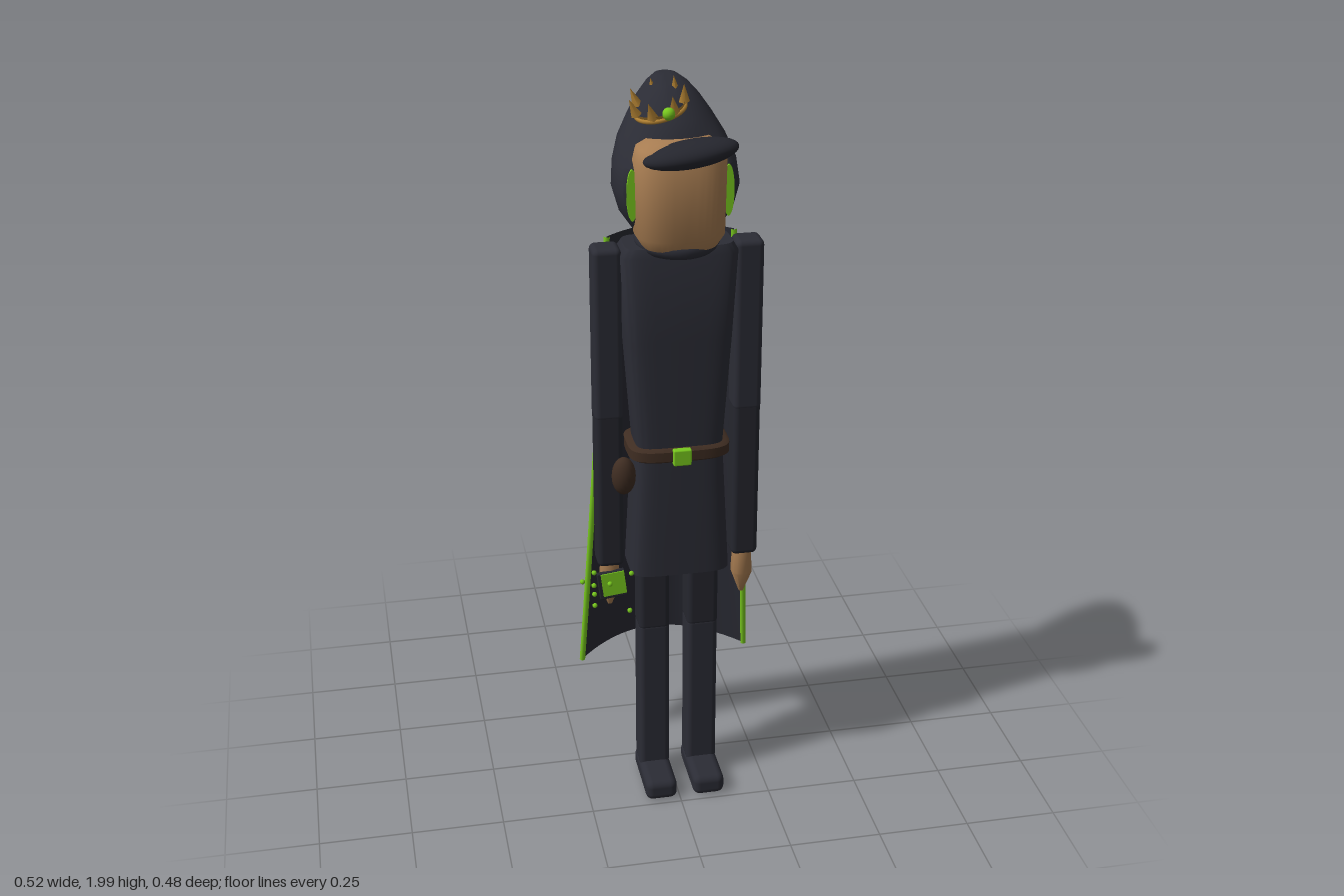
import * as THREE from 'three';
import { toCreasedNormals } from 'three/addons/utils/BufferGeometryUtils.js';
import { RoundedBoxGeometry } from 'three/addons/geometries/RoundedBoxGeometry.js';

const mat = (name, color, side = THREE.FrontSide) => {
  const m = new THREE.MeshStandardMaterial({ color, side });
  m.name = name;
  return m;
};

// Closed loft through superellipse rings; each row is [y, halfWidth, zBack, zFront], bottom to top
function loft(rows, power = 2, zMax = Infinity, n = 40) {
  const first = rows[0], last = rows[rows.length - 1];
  const cap = (r) => [r[0], 0, (r[2] + r[3]) / 2, (r[2] + r[3]) / 2];
  const all = [cap(first), ...rows, cap(last)];
  const pos = [], idx = [];
  const bend = (v) => Math.sign(v) * Math.abs(v) ** (2 / power);
  all.forEach(([y, w, zb, zf], i) => {
    for (let j = 0; j < n; j++) {
      const t = (j / n) * Math.PI * 2;
      const z = (zb + zf) / 2 + ((zf - zb) / 2) * bend(Math.sin(t));
      pos.push(w * bend(Math.cos(t)), y, Math.min(z, zMax));
      if (i === all.length - 1) continue;
      const a = i * n + j, b = i * n + ((j + 1) % n);
      idx.push(a, a + n, b, b, a + n, b + n);
    }
  });
  const g = new THREE.BufferGeometry();
  g.setAttribute('position', new THREE.Float32BufferAttribute(pos, 3));
  g.setIndex(idx);
  return toCreasedNormals(g, 0.7);
}

export function createModel() {
  const model = new THREE.Group();
  model.name = 'hoodedFigure';
  const body = new THREE.Group();
  body.name = 'body';
  body.position.x = 0.015;
  model.add(body);

  const cloth = mat('charcoal cloth', 0x2b2c35);
  const dark = mat('dark cloth', 0x25262e);
  const capeCloth = mat('cape cloth', 0x292a33, THREE.DoubleSide);
  const skin = mat('skin', 0xa87d52);
  const green = mat('bright green', 0x78c81e);
  const gold = mat('gold', 0xb08032, THREE.DoubleSide);
  const leather = mat('brown leather', 0x3f2d22);

  const add = (name, geo, material, x = 0, y = 0, z = 0, parent = body) => {
    const m = new THREE.Mesh(geo, material);
    m.name = name;
    m.position.set(x, y, z);
    parent.add(m);
    return m;
  };
  const box = (w, h, d, r = 0.015) => new RoundedBoxGeometry(w, h, d, 3, r);

  // Legs, feet, arms and hands
  for (const [side, s] of [['left', 1], ['right', -1]]) {
    add(side + 'UpperLeg', box(0.085, 0.32, 0.085), dark, s * 0.067, 0.65, 0.087);
    add(side + 'LowerLeg', box(0.084, 0.47, 0.084), cloth, s * 0.067, 0.275, 0.087);
    add(side + 'Foot', box(0.088, 0.06, 0.2, 0.02), cloth, s * 0.067, 0.03, 0.138);
    add(side + 'UpperArm', box(0.074, 0.47, 0.076), cloth, s * 0.183, 1.36, 0.083);
    add(side + 'Forearm', box(0.072, 0.46, 0.074), dark, s * 0.183, 0.925, 0.083);
    add(side + 'Hand', loft([[0.565, 0.006, 0.077, 0.089], [0.63, 0.029, 0.052, 0.114],
      [0.705, 0.025, 0.056, 0.11]], 2.5, Infinity, 12), skin, s * 0.183);
  }

  // Tunic
  add('tunicSkirt', loft([[0.685, 0.134, 0, 0.175], [1.04, 0.116, 0.01, 0.162]], 5), cloth);
  add('tunicTop', loft([[1.03, 0.114, 0.012, 0.16], [1.35, 0.138, 0.012, 0.157],
    [1.575, 0.152, 0.01, 0.154], [1.598, 0.138, 0.02, 0.145]], 5), cloth);

  // Belt, buckle and pouches
  add('belt', loft([[1.018, 0.126, 0, 0.168], [1.024, 0.135, -0.006, 0.175],
    [1.05, 0.135, -0.006, 0.175], [1.056, 0.126, 0, 0.168]], 4), leather);
  add('buckle', box(0.048, 0.045, 0.02, 0.004), green, -0.003, 1.037, 0.178);
  add('pouch', new THREE.SphereGeometry(1, 20, 14), leather, -0.15, 0.975, 0.135).scale.set(0.032, 0.053, 0.028);

  // Collar
  const collar = add('collar', new THREE.TorusGeometry(0.088, 0.021, 12, 40), cloth, 0, 1.605, 0.085);
  collar.rotation.x = Math.PI / 2 + 0.08;

  // Head and swept hair
  add('head', loft([[1.6, 0.095, 0.03, 0.185], [1.63, 0.113, 0.02, 0.2], [1.82, 0.117, 0.02, 0.2],
    [1.85, 0.105, 0.03, 0.185], [1.865, 0.08, 0.05, 0.16]], 2.7), skin);
  const hair = add('hair', new THREE.SphereGeometry(1, 28, 18), dark, 0.018, 1.842, 0.164);
  hair.scale.set(0.12, 0.034, 0.055);
  hair.rotation.z = 0.14;

  // Hood with a flat-cut opening and green lining slivers
  add('hood', loft([[1.6, 0.075, 0.0, 0.12], [1.63, 0.11, -0.03, 0.16], [1.68, 0.144, -0.055, 0.19],
    [1.74, 0.161, -0.075, 0.2], [1.8, 0.155, -0.09, 0.18], [1.85, 0.136, -0.103, 0.122],
    [1.9, 0.106, -0.111, 0.084], [1.94, 0.078, -0.113, 0.045], [1.968, 0.052, -0.108, 0.008],
    [1.983, 0.028, -0.098, -0.035], [1.987, 0.01, -0.085, -0.06]], 2, 0.13), cloth);
  for (const s of [1, -1]) {
    const lining = add('hoodLining', new THREE.CylinderGeometry(1, 1, 1, 24), green, s * 0.121, 1.735, 0.129);
    lining.rotation.x = Math.PI / 2;
    lining.scale.set(0.014, 0.008, 0.066);
  }

  // Tilted crown with pointed spikes and a gem
  const crown = new THREE.Group();
  crown.name = 'crown';
  crown.position.set(-0.035, 1.927, 0.04);
  crown.rotation.set(0.15, 0, 0.25);
  body.add(crown);
  add('crownBand', new THREE.CylinderGeometry(0.066, 0.062, 0.016, 32, 1, true), gold, 0, 0, 0, crown);
  const rim = add('crownRim', new THREE.TorusGeometry(0.063, 0.006, 8, 36), gold, 0, -0.006, 0, crown);
  rim.rotation.x = Math.PI / 2;
  for (let i = 0; i < 7; i++) {
    const a = (i / 7) * Math.PI * 2 + Math.PI / 7;
    const spike = add('crownSpike', new THREE.ConeGeometry(0.014, 0.048, 4), gold,
      Math.sin(a) * 0.067, 0.026, Math.cos(a) * 0.067, crown);
    spike.rotation.set(Math.cos(a) * 0.2, 0, -Math.sin(a) * 0.2);
  }
  add('crownGem', new THREE.SphereGeometry(0.016, 14, 10), green, 0.012, 0.008, 0.066, crown);

  // Cape: arc across u, flaring and sweeping back down v
  const capePoint = (u, v, out) => {
    const edge = 0.005 - 0.02 * v - 0.08 * v * v;
    const back = -0.07 - 0.105 * v - 0.062 * v * v;
    return out.set(u * (0.165 + 0.072 * v), 1.59 - 1.31 * v, back + (edge - back) * u * u);
  };
  const cape = new THREE.PlaneGeometry(1, 1, 32, 24);
  const p = cape.attributes.position, uv = cape.attributes.uv, pt = new THREE.Vector3();
  for (let i = 0; i < p.count; i++) {
    capePoint(1 - 2 * uv.getX(i), 1 - uv.getY(i), pt);
    p.setXYZ(i, pt.x, pt.y, pt.z);
  }
  cape.computeVertexNormals();
  add('cape', cape, capeCloth);
  for (const s of [1, -1]) {
    const path = Array.from({ length: 9 }, (_, i) => capePoint(s, i / 8, new THREE.Vector3()));
    add('capeTrim', new THREE.TubeGeometry(new THREE.CatmullRomCurve3(path), 32, 0.008, 8), green);
  }

  // Glowing slab held in the right hand
  const slab = new THREE.Group();
  slab.name = 'heldSlab';
  slab.position.set(-0.166, 0.64, 0.112);
  slab.rotation.z = 0.12;
  model.add(slab);
  add('slabBack', box(0.076, 0.08, 0.014, 0.003), dark, 0, 0, 0, slab);
  add('slabFace', new THREE.BoxGeometry(0.064, 0.068, 0.006), green, 0.004, 0.004, 0.007, slab);

  // Floating sparks
  const sparks = [[-0.255, 0.69, 0.172], [-0.22, 0.7, 0.148], [-0.222, 0.665, 0.155], [-0.217, 0.59, 0.133],
    [-0.185, 0.69, 0.197], [-0.132, 0.6, 0.192], [-0.12, 0.69, 0.152], [-0.22, 0.635, 0.15]];
  for (const [x, y, z] of sparks) add('spark', new THREE.IcosahedronGeometry(0.007, 1), green, x, y, z, model);

  return model;
}
